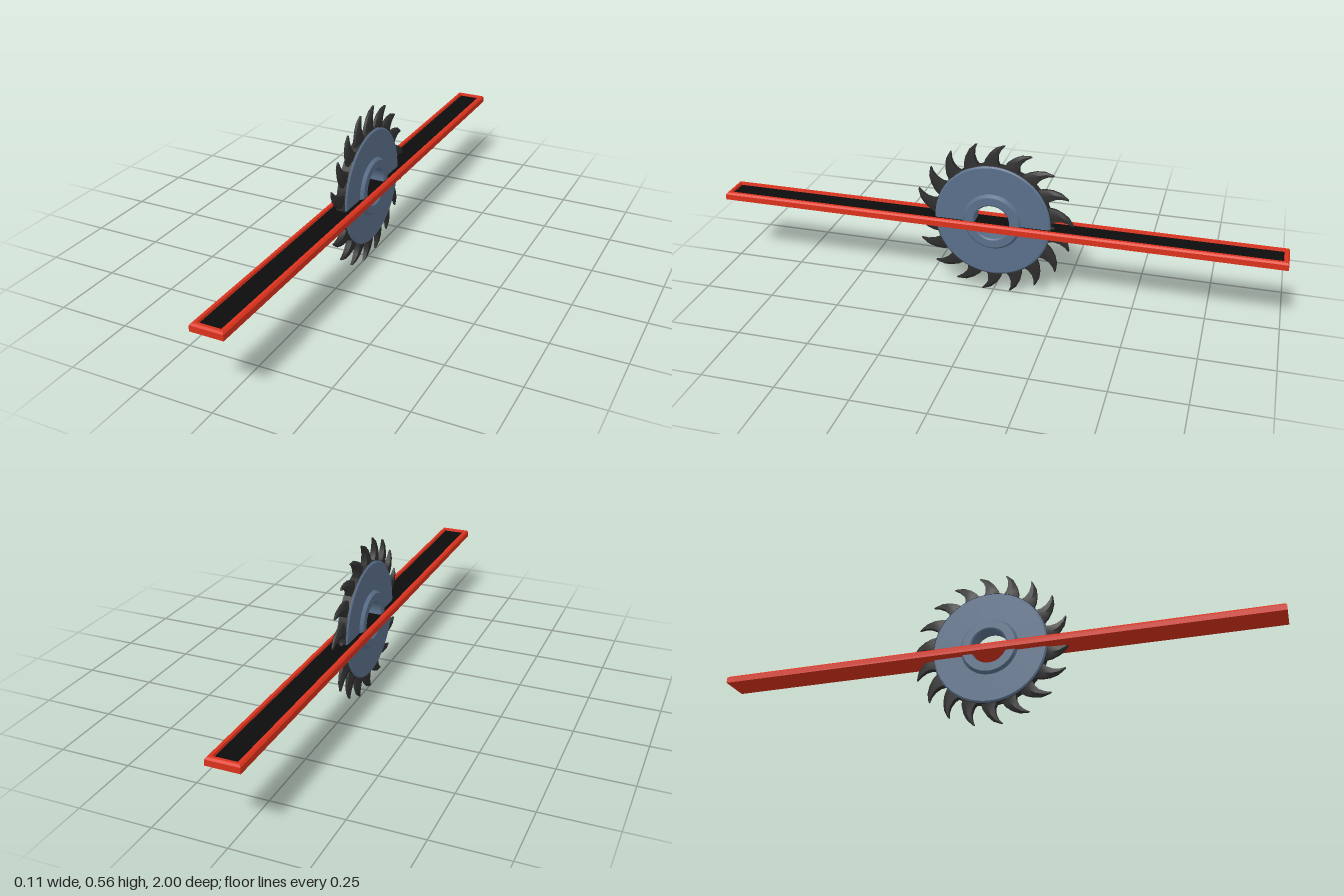
import * as THREE from 'three';
import { toCreasedNormals } from 'three/addons/utils/BufferGeometryUtils.js';

const CENTER_Y = 0.284, TEETH = 18;

const paint = (color) => new THREE.MeshStandardMaterial({ color });

// Skin a stack of equal-sized rings (counter-clockwise seen from the last ring) and cap both ends
function loft(rings, crease) {
  const n = rings[0].length, index = [];
  for (let i = 0; i < rings.length - 1; i++) {
    for (let j = 0; j < n; j++) {
      const k = (j + 1) % n, a = i * n, b = a + n;
      index.push(a + j, a + k, b + k, a + j, b + k, b + j);
    }
  }
  const top = (rings.length - 1) * n;
  for (let j = 1; j < n - 1; j++) {
    index.push(0, j + 1, j, top, top + j, top + j + 1);
  }
  const geo = new THREE.BufferGeometry();
  geo.setAttribute('position', new THREE.Float32BufferAttribute(rings.flat(2), 3));
  geo.setIndex(index);
  return toCreasedNormals(geo, crease);
}

// One hooked claw: [back angle, back radius, lead angle, lead radius, half width]
function toothGeometry() {
  const sections = [
    [-0.34, 0.198, -0.02, 0.198, 0.014],
    [-0.27, 0.228, -0.075, 0.222, 0.0128],
    [-0.2, 0.25, -0.075, 0.245, 0.0108],
    [-0.12, 0.27, -0.045, 0.266, 0.0078],
    [-0.025, 0.284, 0, 0.284, 0.0035],
  ];
  const rings = sections.map(([ba, br, la, lr, w]) => {
    const at = (t, x) => {
      const a = ba + (la - ba) * t, r = br + (lr - br) * t;
      return [x, r * Math.cos(a), -r * Math.sin(a)];
    };
    return [at(0, w * 0.4), at(0.45, w), at(1, w * 0.85),
      at(1, -w * 0.85), at(0.45, -w), at(0, -w * 0.4)];
  });
  return loft(rings, 0.5);
}

// Disc with raised hub and bore, turned about the x axis
function discGeometry() {
  const side = [
    [0.063, 0.027], [0.068, 0.031], [0.095, 0.031], [0.104, 0.02],
    [0.201, 0.02], [0.206, 0.016],
  ];
  const profile = [
    ...side.map(([r, x]) => new THREE.Vector2(r, -x)),
    ...side.reverse().map(([r, x]) => new THREE.Vector2(r, x)),
  ];
  profile.push(profile[0].clone());
  return toCreasedNormals(new THREE.LatheGeometry(profile, 64).rotateZ(Math.PI / 2), 0.4);
}

export function createModel() {
  const model = new THREE.Group();
  const red = paint(0xdb321c), black = paint(0x0c0c0d);
  const dark = paint(0x2e2e2e), steel = paint(0x5a6f8a);
  const add = (parent, name, geo, mat) => {
    const mesh = new THREE.Mesh(geo, mat);
    mesh.name = name;
    parent.add(mesh);
    return mesh;
  };

  // Track: tray with chamfered top edge and sunken floor
  const track = new THREE.Group();
  track.name = 'track';
  const tray = [
    [0.056, 1, 0.259], [0.056, 1, 0.279], [0.05, 0.994, 0.285],
    [0.04, 0.984, 0.285], [0.038, 0.982, 0.275],
  ].map(([x, z, y]) => [[x, y, z], [x, y, -z], [-x, y, -z], [-x, y, z]]);
  add(track, 'trackFrame', loft(tray, 0.3), red);
  add(track, 'trackFloor', new THREE.BoxGeometry(0.076, 0.004, 1.964), black)
    .position.y = 0.275;
  model.add(track);

  // Saw blade
  const blade = new THREE.Group();
  blade.name = 'blade';
  blade.position.y = CENTER_Y;
  add(blade, 'disc', discGeometry(), steel);
  const band = new THREE.CylinderGeometry(0.2075, 0.2075, 0.031, 64, 1, true);
  const rim = add(blade, 'rim', band.rotateZ(Math.PI / 2), dark);
  rim.material = dark.clone();
  rim.material.side = THREE.DoubleSide;

  // Ring of teeth
  const tooth = toothGeometry();
  for (let i = 0; i < TEETH; i++) {
    add(blade, 'tooth', tooth, dark).rotation.x =
      THREE.MathUtils.degToRad(-8.5 + (i * 360) / TEETH);
  }
  model.add(blade);
  return model;
}
